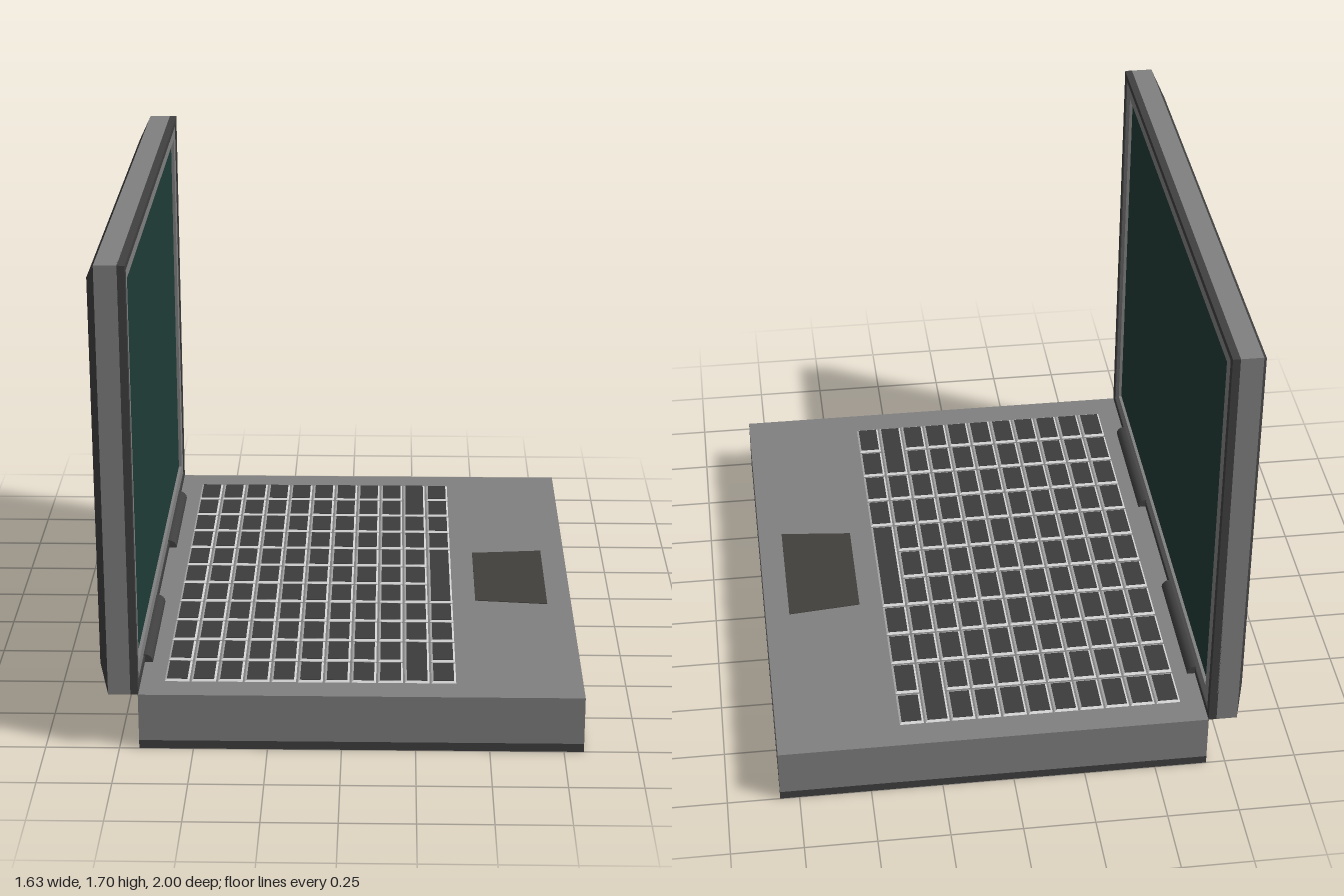
import * as THREE from 'three';

const mat = (color, opts = {}) => new THREE.MeshStandardMaterial({ color, ...opts });
const grey = mat(0x808080), dark = mat(0x404040), light = mat(0xcccccc);
const keyTop = mat(0x3c3c3c), glass = mat(0x203c36), padMat = mat(0x423f3b);

function add(parent, name, geometry, material, x = 0, y = 0, z = 0) {
  const mesh = new THREE.Mesh(geometry, material);
  mesh.name = name;
  mesh.position.set(x, y, z);
  parent.add(mesh);
  return mesh;
}

// Box standing on y = 0 whose top face is scaled
function frustum(w, h, d, topX, topZ) {
  const g = new THREE.BoxGeometry(w, h, d).translate(0, h / 2, 0);
  const p = g.attributes.position;
  for (let i = 0; i < p.count; i++) {
    if (p.getY(i) > h / 2) {
      p.setX(i, p.getX(i) * topX);
      p.setZ(i, p.getZ(i) * topZ);
    }
  }
  g.computeVertexNormals();
  return g;
}

// Rectangular ring in the YZ plane, extruded towards +x
function ring(halfZ, y0, y1, holeZ, h0, h1, depth) {
  const rect = (C, a, b, c) => new C([[-a, b], [a, b], [a, c], [-a, c]].map(q => new THREE.Vector2(...q)));
  const shape = rect(THREE.Shape, halfZ, y0, y1);
  shape.holes.push(rect(THREE.Path, holeZ, h0, h1));
  return new THREE.ExtrudeGeometry(shape, { depth, bevelEnabled: false }).rotateY(Math.PI / 2);
}

export function createModel() {
  const model = new THREE.Group();
  model.name = 'laptop';

  // Base
  const base = new THREE.Group();
  base.name = 'base';
  model.add(base);
  add(base, 'bottomPlate', new THREE.BoxGeometry(1.5, 0.03, 2), dark, 0.067, 0.015);
  add(base, 'baseBody', new THREE.BoxGeometry(1.5, 0.17, 2), grey, 0.067, 0.115);

  // Touchpad, slightly wider towards the user
  const pad = new THREE.Shape([[0.47, -0.217], [0.73, -0.243], [0.73, 0.243], [0.47, 0.217]]
    .map(q => new THREE.Vector2(...q)));
  add(base, 'touchpad', new THREE.ExtrudeGeometry(pad, { depth: 0.002, bevelEnabled: false })
    .rotateX(-Math.PI / 2), padMat, 0, 0.2);

  // Keyboard: 11 x 11 grid, with a few keys spanning several cells along z
  const keyboard = new THREE.Group();
  keyboard.name = 'keyboard';
  base.add(keyboard);
  const n = 11, px = 0.995 / n, pz = 1.8 / n;
  const spans = { '9,0': 2, '9,9': 2, '10,4': 3 };
  for (let col = 0; col < n; col++) {
    for (let row = 0; row < n;) {
      const span = spans[`${col},${row}`] || 1;
      const x = -0.605 + (col + 0.5) * px, z = -0.9 + (row + span / 2) * pz;
      const w = px - 0.004, d = pz * span - 0.004, capW = 0.07, capD = pz * span - 0.026;
      add(keyboard, 'keyBody', frustum(w, 0.006, d, capW / w, capD / d), light, x, 0.199, z);
      add(keyboard, 'keyTop', new THREE.BoxGeometry(capW, 0.002, capD), keyTop, x, 0.205, z);
      row += span;
    }
  }

  // Lid
  const lid = new THREE.Group();
  lid.name = 'lid';
  model.add(lid);
  add(lid, 'lidBody', new THREE.BoxGeometry(0.075, 1.5, 2), grey, -0.745, 0.95);
  add(lid, 'lidBack', frustum(1.5, 0.035, 2, 1.36 / 1.5, 0.9).rotateZ(Math.PI / 2), dark, -0.782, 0.95);
  add(lid, 'lidFrame', ring(1, 0.2, 1.7, 0.97, 0.226, 1.677, 0.028), dark, -0.71);
  add(lid, 'bezel', ring(0.97, 0.226, 1.677, 0.905, 0.275, 1.63, 0.024), grey, -0.71);
  add(lid, 'screen', new THREE.BoxGeometry(0.01, 1.355, 1.81), glass, -0.702, 0.9525);

  // Hinges
  for (const s of [-1, 1]) {
    add(model, 'hinge', new THREE.CylinderGeometry(0.028, 0.028, 0.5, 16).rotateX(Math.PI / 2),
      dark, -0.682, 0.202, s * 0.5);
  }
  return model;
}
